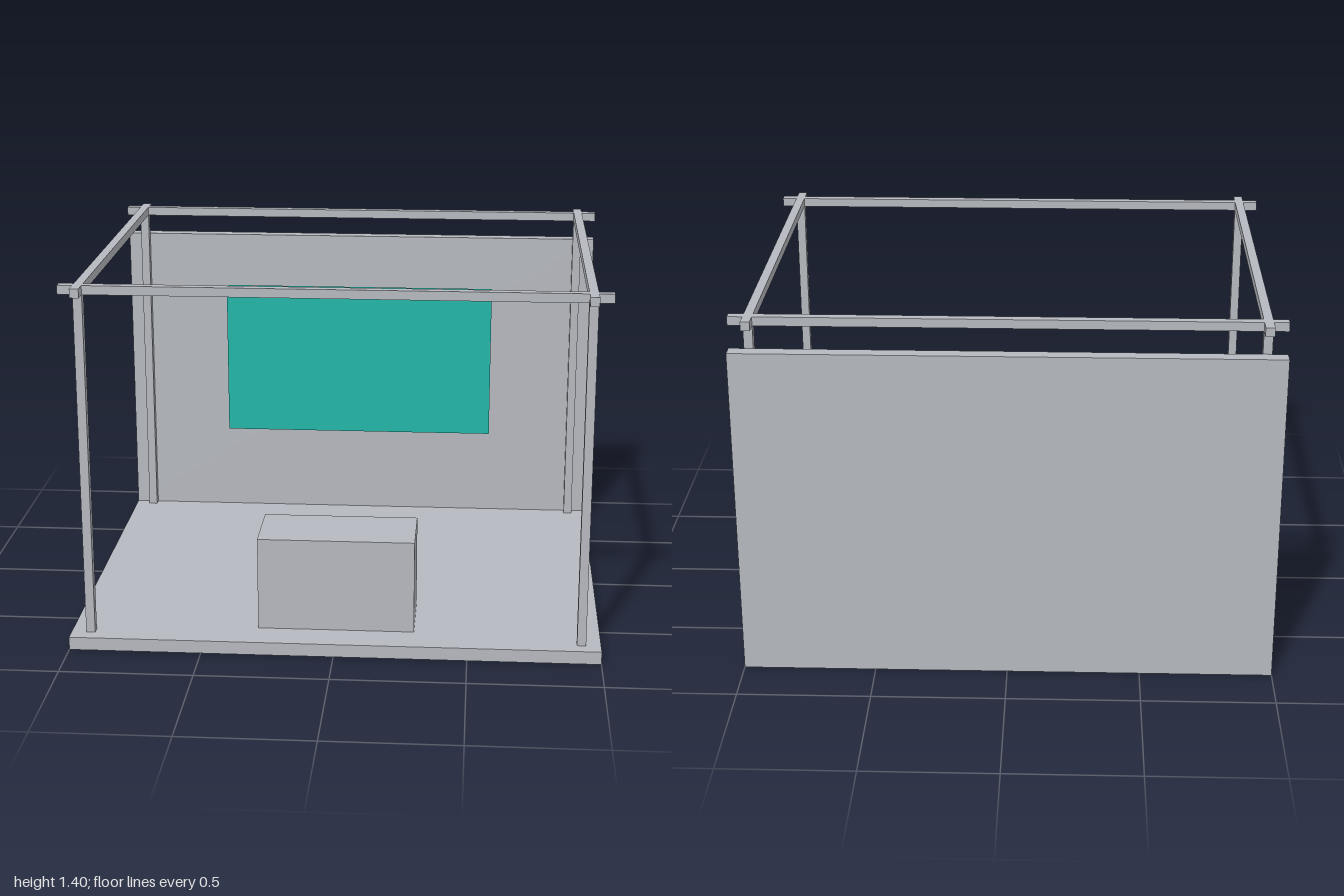
import * as THREE from 'three';

export function createModel() {
  const model = new THREE.Group();
  const grey = new THREE.MeshStandardMaterial({ name: 'lightGrey', color: 0xb6b9bf });
  const teal = new THREE.MeshStandardMaterial({ name: 'teal', color: 0x21b7a8 });

  // Box given by its lower and upper corners
  function box(name, material, [x0, y0, z0], [x1, y1, z1]) {
    const mesh = new THREE.Mesh(new THREE.BoxGeometry(x1 - x0, y1 - y0, z1 - z0), material);
    mesh.position.set((x0 + x1) / 2, (y0 + y1) / 2, (z0 + z1) / 2);
    mesh.name = name;
    model.add(mesh);
  }

  const floorTop = 0.05, top = 1.4;
  const postX = 0.927, postZ = 0.729, half = 0.017;

  // Platform, rear wall, counter and display panel
  box('floor', grey, [-1, 0, -0.8], [1, floorTop, 0.8]);
  box('backWall', grey, [-1, floorTop, -0.8], [1, 1.28, -0.746]);
  box('counter', grey, [-0.297, floorTop, 0.382], [0.297, 0.41, 0.661]);
  box('displayPanel', teal, [-0.571, 0.424, -0.711], [0.571, 1.064, -0.67]);

  // Overhead beams crossing at the corners
  const beamBottom = top - 2 * half;
  for (const s of [-1, 1]) {
    const end = s > 0 ? 'front' : 'back';
    const side = s > 0 ? 'left' : 'right';
    box(end + 'Beam', grey, [-1, beamBottom, s * postZ - half], [1, top, s * postZ + half]);
    box(side + 'Beam', grey, [s * postX - half, beamBottom, -0.8], [s * postX + half, top, 0.8]);

    // Corner posts
    for (const t of [-1, 1]) {
      box(end + (t > 0 ? 'Left' : 'Right') + 'Post', grey,
        [t * postX - half, floorTop, s * postZ - half],
        [t * postX + half, beamBottom, s * postZ + half]);
    }
  }
  return model;
}
